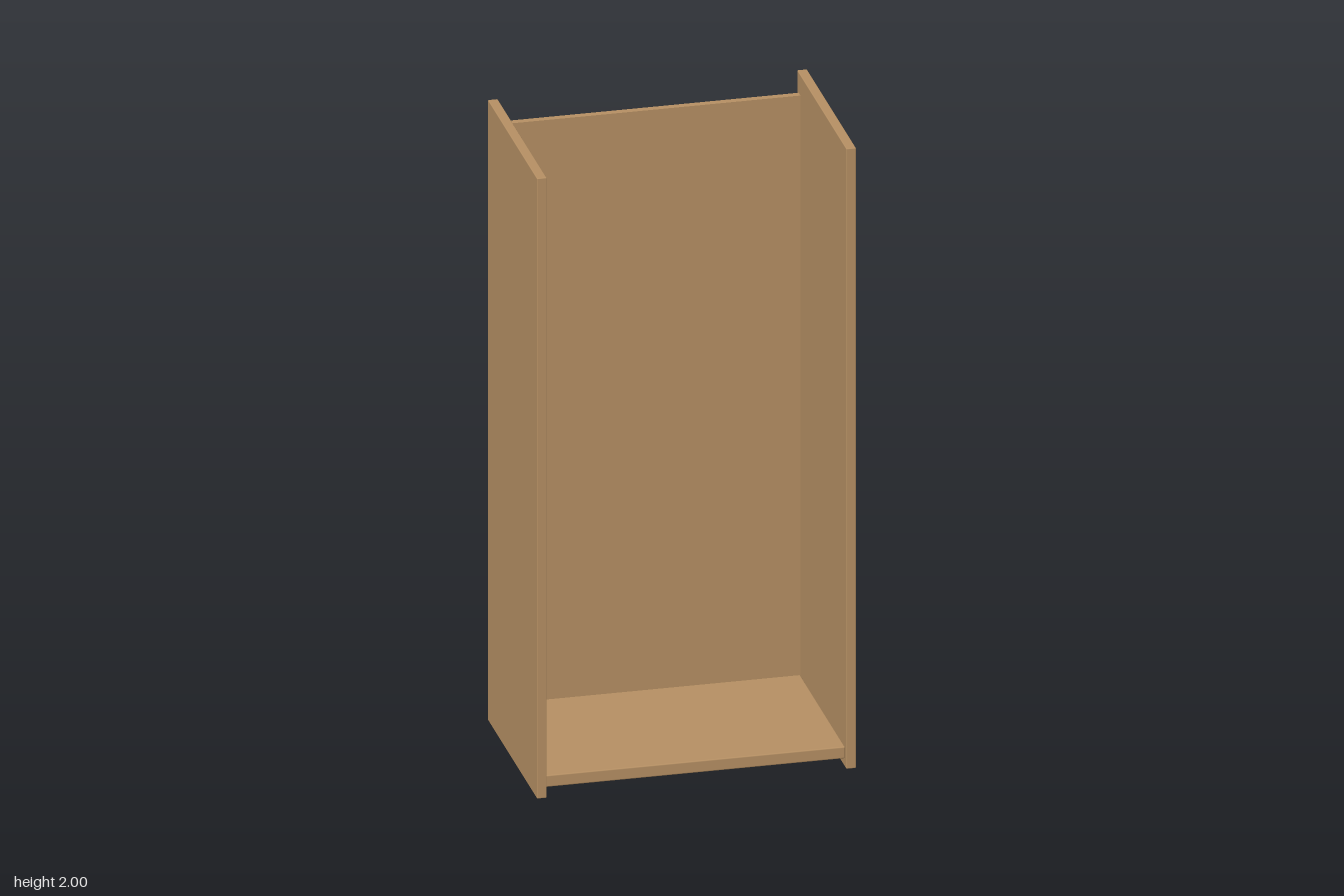
import * as THREE from 'three';
import { RoundedBoxGeometry } from 'three/addons/geometries/RoundedBoxGeometry.js';

export function createModel() {
  const model = new THREE.Group();
  model.name = 'openCabinet';
  const wood = new THREE.MeshStandardMaterial({ color: 0xb58f63 });
  wood.name = 'wood';

  // Board spanning min to max on each axis, with slightly eased edges
  function board(name, [x0, x1], [y0, y1], [z0, z1], ease) {
    const size = [x1 - x0, y1 - y0, z1 - z0];
    const geometry = ease
      ? new RoundedBoxGeometry(...size, 2, ease)
      : new THREE.BoxGeometry(...size);
    const mesh = new THREE.Mesh(geometry, wood);
    mesh.name = name;
    mesh.position.set((x0 + x1) / 2, (y0 + y1) / 2, (z0 + z1) / 2);
    model.add(mesh);
  }

  // Tall side panels
  board('leftSide', [0.457, 0.487], [0, 2], [-0.306, 0.306], 0.003);
  board('rightSide', [-0.487, -0.457], [0, 2], [-0.306, 0.306], 0.003);

  // Bottom shelf, raised off the ground
  board('bottomShelf', [-0.457, 0.457], [0.029, 0.067], [-0.295, 0.293], 0.004);

  // Back panel, inset from the rear edge and lower than the sides
  board('backPanel', [-0.457, 0.457], [0.067, 1.935], [-0.286, -0.264], 0);

  return model;
}
